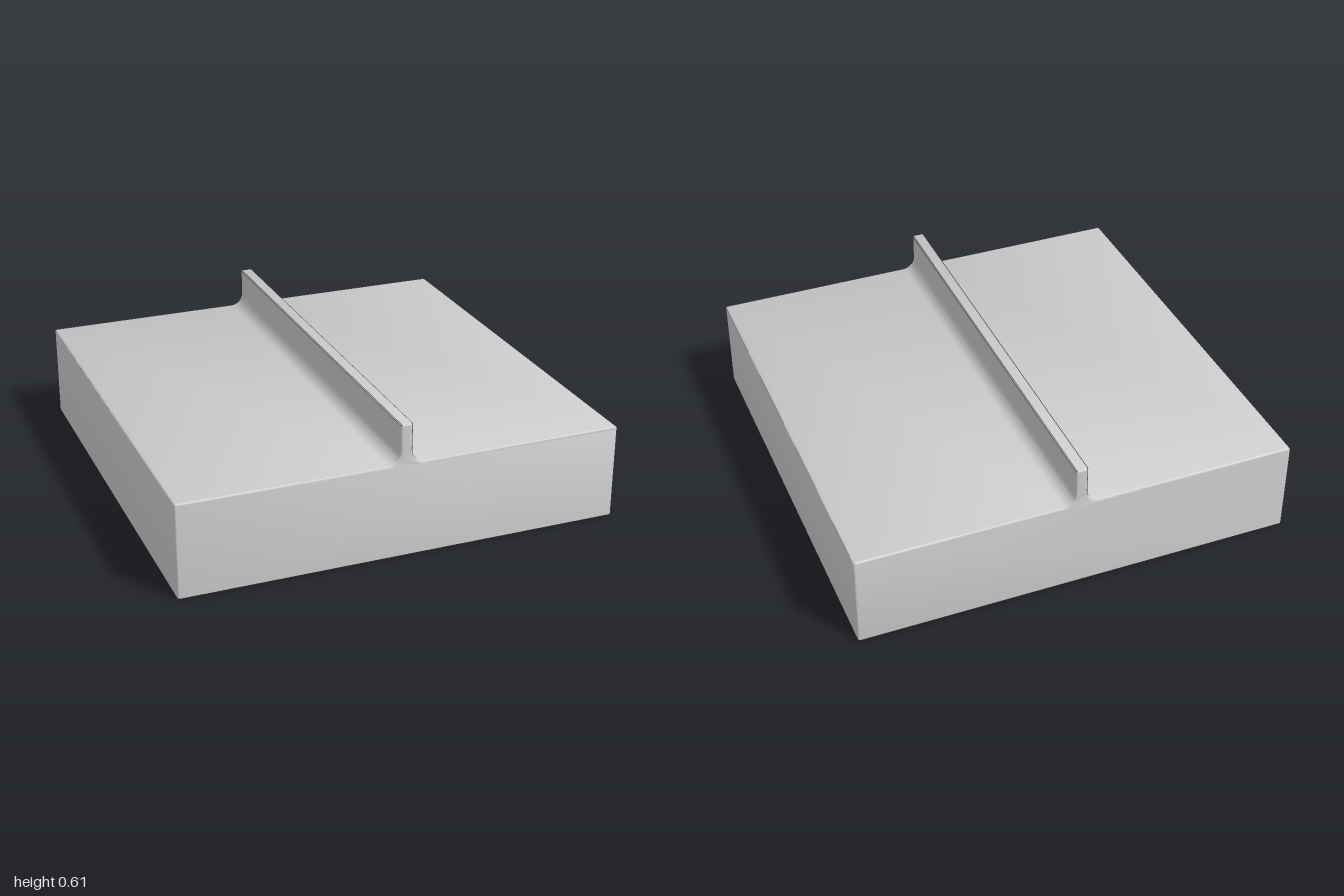
import * as THREE from 'three';
import { toCreasedNormals } from 'three/addons/utils/BufferGeometryUtils.js';

const HALF_X = 0.992, HALF_Z = 0.993;
const DECK = 0.425, FIN_TOP = 0.605, FIN_HALF = 0.028;
const FILLET = 0.055, EDGE = 0.012, BELOW = -0.05;

// Cross-section of the cover: flat deck with a filleted centre fin
function coverProfile() {
  const s = new THREE.Shape();
  const c = FIN_HALF + FILLET, e = 0.004;
  s.moveTo(-HALF_X, BELOW);
  s.lineTo(HALF_X, BELOW);
  s.lineTo(HALF_X, DECK - EDGE);
  s.absarc(HALF_X - EDGE, DECK - EDGE, EDGE, 0, Math.PI / 2, false);
  s.lineTo(c, DECK);
  s.absarc(c, DECK + FILLET, FILLET, -Math.PI / 2, -Math.PI, true);
  s.lineTo(FIN_HALF, FIN_TOP - e);
  s.lineTo(FIN_HALF - e, FIN_TOP);
  s.lineTo(-FIN_HALF + e, FIN_TOP);
  s.lineTo(-FIN_HALF, FIN_TOP - e);
  s.lineTo(-FIN_HALF, DECK + FILLET);
  s.absarc(-c, DECK + FILLET, FILLET, 0, -Math.PI / 2, true);
  s.lineTo(-HALF_X + EDGE, DECK);
  s.absarc(-HALF_X + EDGE, DECK - EDGE, EDGE, Math.PI / 2, Math.PI, false);
  s.closePath();
  return s;
}

// Trim everything below the rim and leave the underside open
function openBottom(geometry) {
  const p = geometry.getAttribute('position');
  const kept = [];
  for (let i = 0; i < p.count; i += 3) {
    const tri = [];
    let top = 0;
    for (let k = i; k < i + 3; k++) {
      const y = Math.max(0, p.getY(k));
      top = Math.max(top, y);
      tri.push(p.getX(k), y, p.getZ(k));
    }
    if (top > 1e-5) kept.push(...tri);
  }
  const g = new THREE.BufferGeometry();
  g.setAttribute('position', new THREE.Float32BufferAttribute(kept, 3));
  return toCreasedNormals(g, 0.6);
}

export function createModel() {
  const group = new THREE.Group();
  group.name = 'finnedCover';

  const solid = new THREE.ExtrudeGeometry(coverProfile(), {
    depth: 2 * (HALF_Z - EDGE),
    curveSegments: 8,
    bevelEnabled: true,
    bevelSize: EDGE,
    bevelOffset: -EDGE,
    bevelThickness: EDGE,
    bevelSegments: 4,
  });
  solid.translate(0, 0, -(HALF_Z - EDGE));

  const shell = new THREE.Mesh(
    openBottom(solid),
    new THREE.MeshStandardMaterial({ color: 0xcccccc, side: THREE.DoubleSide })
  );
  shell.name = 'coverShellWithFin';
  group.add(shell);
  return group;
}
